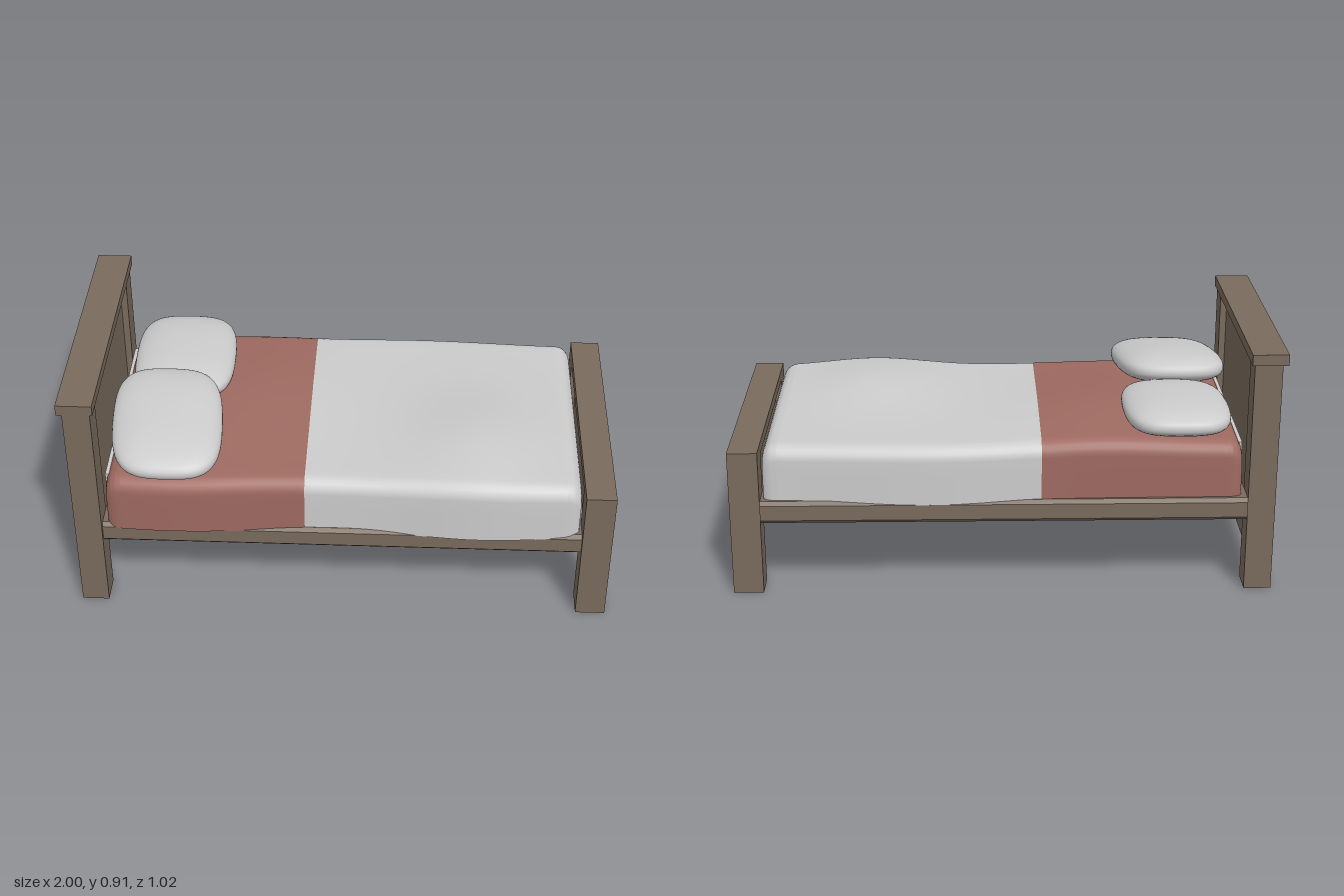
import * as THREE from 'three';
import { mergeVertices } from 'three/addons/utils/BufferGeometryUtils.js';

const wood = new THREE.MeshStandardMaterial({ color: 0x796b5d });
const sheetRed = new THREE.MeshStandardMaterial({ color: 0x9e6a61 });
const linen = new THREE.MeshStandardMaterial({ color: 0xcccccc });
const linenOpen = new THREE.MeshStandardMaterial({ color: 0xcccccc, side: THREE.DoubleSide });
sheetRed.side = THREE.DoubleSide;

// Box given by its extents
function box(name, mat, x0, x1, y0, y1, z0, z1) {
  const mesh = new THREE.Mesh(new THREE.BoxGeometry(x1 - x0, y1 - y0, z1 - z0), mat);
  mesh.position.set((x0 + x1) / 2, (y0 + y1) / 2, (z0 + z1) / 2);
  mesh.name = name;
  return mesh;
}

const bump = (d, s) => Math.exp(-((d / s) ** 2));

// Soft outline of the made bed: height and the two side edges
const HEAD = -0.86, FOOT = 0.88, SEAM = -0.13, BASE = 0.345, R = 0.055;
const topAt = (x, z) => 0.565
  + 0.043 * bump(x - 0.5, 0.24) * bump(z - 0.2, 0.3)
  + 0.035 * bump(x + 0.35, 0.3) * bump(z + 0.1, 0.4);
const frontAt = (x) => 0.462 + 0.034 * bump(x - 0.52, 0.3) + 0.03 * bump(x + 0.62, 0.35);
const backAt = (x) => -0.485 - 0.025 * bump(x - 0.28, 0.4);

// One cross-section of the covers at x, from the front hem over the top to the back hem
function coverSection(x) {
  const d = Math.min(x - HEAD, FOOT - x, R);
  const inset = R - Math.sqrt(Math.max(0, R * R - (R - d) ** 2));
  const zf = frontAt(x) - inset * 0.5, zb = backAt(x) + inset * 0.5;
  const pts = [];
  const put = (z, drop) => pts.push([x, topAt(x, z) - inset - drop, z]);
  const side = (z) => {
    const yTop = topAt(x, z) - inset - R;
    return [0, 0.33, 0.67].map((t) => [x, BASE + (yTop - BASE) * t, z]);
  };
  pts.push(...side(zf));
  for (let i = 0; i <= 6; i++) {
    const a = (i / 6) * Math.PI / 2;
    put(zf - R + R * Math.cos(a), R - R * Math.sin(a));
  }
  for (let i = 1; i < 24; i++) put(zf - R + (zb - zf + 2 * R) * i / 24, 0);
  for (let i = 6; i >= 0; i--) {
    const a = (i / 6) * Math.PI / 2;
    put(zb + R - R * Math.cos(a), R - R * Math.sin(a));
  }
  pts.push(...side(zb).reverse());
  return pts;
}

// Skin of covers between two x positions, closed down to the base at the bed ends
function cover(name, mat, x0, x1) {
  const xs = [], n = 36;
  for (let i = 0; i <= n; i++) xs.push(x0 + (x1 - x0) * i / n);
  for (const t of [0.03, 0.1, 0.22, 0.4, 0.65, 1]) {
    if (x0 === HEAD) xs.push(HEAD + R * t);
    if (x1 === FOOT) xs.push(FOOT - R * t);
  }
  xs.sort((a, b) => a - b);
  const rows = xs.map(coverSection);
  const hem = (row) => row.map(([x, , z]) => [x, BASE, z]);
  if (x0 === HEAD) rows.unshift(hem(rows[0]));
  if (x1 === FOOT) rows.push(hem(rows[rows.length - 1]));
  const w = rows[0].length, index = [];
  for (let i = 0; i < rows.length - 1; i++) {
    for (let j = 0; j < w - 1; j++) {
      const a = i * w + j, b = a + w;
      index.push(a, b, a + 1, b, b + 1, a + 1);
    }
  }
  const geo = new THREE.BufferGeometry();
  geo.setAttribute('position', new THREE.Float32BufferAttribute(rows.flat(2), 3));
  geo.setIndex(index);
  geo.computeVertexNormals();
  const mesh = new THREE.Mesh(geo, mat);
  mesh.name = name;
  return mesh;
}

// Pillow: a subdivided box pulled onto a soft rounded block, sheared and tilted
function pillow(name, size, pos, tilt, shear) {
  let geo = new THREE.BoxGeometry(2, 2, 2, 20, 12, 20);
  geo.deleteAttribute('uv');
  geo.deleteAttribute('normal');
  geo = mergeVertices(geo, 1e-4);
  const p = geo.attributes.position;
  for (let i = 0; i < p.count; i++) {
    const x = p.getX(i), y = p.getY(i), z = p.getZ(i);
    const plan = (Math.abs(x) ** 4.5 + Math.abs(z) ** 4.5) ** (1 / 4.5);
    const k = 1 / (plan ** 2.6 + Math.abs(y) ** 2.6) ** (1 / 2.6);
    const px = x * k, py = y * k, pz = z * k;
    const dip = 1 - 0.12 * px * px - 0.12 * pz * pz;
    const narrow = 1 - 0.1 * pz * pz;
    p.setXYZ(i, px * size[0] * narrow + shear * pz * size[2], py * size[1] * dip, pz * size[2] * (1 - 0.07 * px * px));
  }
  geo.computeVertexNormals();
  const mesh = new THREE.Mesh(geo, linen);
  mesh.position.set(...pos);
  mesh.rotation.x = tilt;
  mesh.name = name;
  return mesh;
}

export function createModel() {
  const bed = new THREE.Group();
  bed.name = 'bed';

  // Headboard and footboard, each with a post on both sides
  const headboard = new THREE.Group();
  headboard.name = 'headboard';
  const footboard = new THREE.Group();
  footboard.name = 'footboard';
  for (const [side, z0, z1] of [['left', 0.39, 0.495], ['right', -0.505, -0.4]]) {
    headboard.add(box(side + 'HeadPost', wood, -0.98, -0.88, 0, 0.87, z0, z1));
    footboard.add(box(side + 'FootPost', wood, 0.89, 1, 0, 0.51, z0, z1));
  }
  headboard.add(
    box('headPanel', wood, -0.955, -0.905, 0.1, 0.87, -0.4, 0.39),
    box('headCap', wood, -1, -0.87, 0.87, 0.91, -0.51, 0.497));
  footboard.add(
    box('footPanel', wood, 0.915, 0.975, 0.265, 0.51, -0.4, 0.39),
    box('footRail', wood, 0.89, 1, 0.51, 0.55, -0.505, 0.495));
  bed.add(headboard, footboard);

  // Bed base with chamfered long edges, extruded along x
  const c = 0.014, zB = -0.51, zF = 0.48, yB = 0.275, yT = 0.36;
  const profile = new THREE.Shape([
    [-zF + c, yB], [-zB - c, yB], [-zB, yB + c], [-zB, yT - c],
    [-zB - c, yT], [-zF + c, yT], [-zF, yT - c], [-zF, yB + c],
  ].map(([u, v]) => new THREE.Vector2(u, v)));
  const base = new THREE.Mesh(
    new THREE.ExtrudeGeometry(profile, { depth: 1.77, bevelEnabled: false }), wood);
  base.rotation.y = Math.PI / 2;
  base.position.x = -0.88;
  base.name = 'bedBase';
  bed.add(base);

  // Mattress, just showing at the head end, under sheet and blanket
  bed.add(
    box('mattress', linen, -0.865, 0.8, 0.35, 0.54, -0.4, 0.41),
    cover('sheet', sheetRed, HEAD, SEAM),
    cover('blanket', linenOpen, SEAM, FOOT));

  // Pillows, the left one leaning on the right one
  bed.add(
    pillow('rightPillow', [0.195, 0.062, 0.255], [-0.635, 0.619, -0.243], 0.02, 0.02),
    pillow('leftPillow', [0.205, 0.066, 0.28], [-0.65, 0.647, 0.228], 0.13, 0.07));

  return bed;
}
